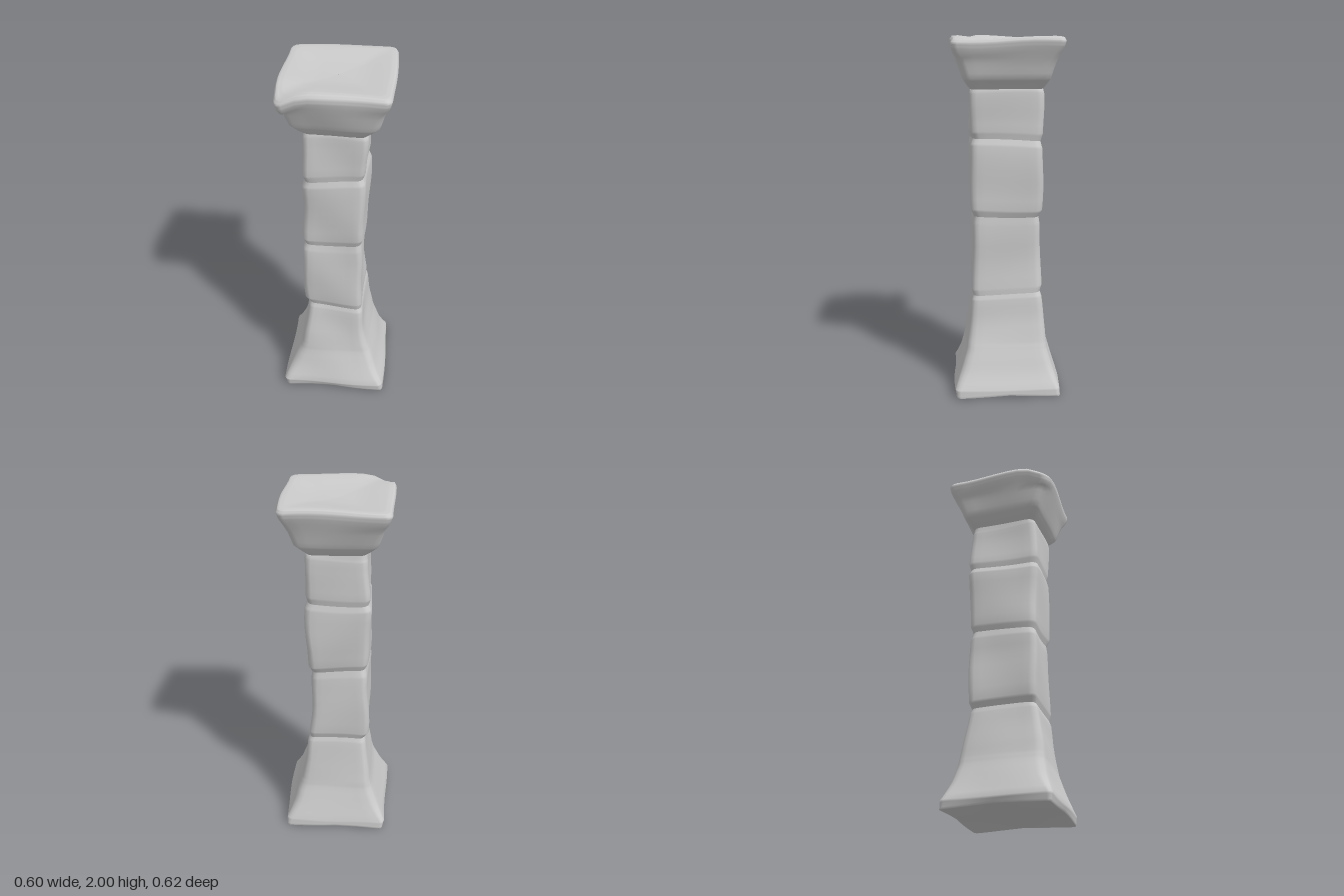
import * as THREE from 'three';

const material = new THREE.MeshStandardMaterial({ color: 0xcccccc });
const SIDE = 8, ARC = 3, STEPS = 3; // points per straight side, per corner, rows between sections

// Unit rounded square, counter-clockwise seen from above
function ringPoints(radius) {
  const points = [];
  for (let k = 0; k < 4; k++) {
    const turn = k * Math.PI / 2, c = Math.cos(turn), s = Math.sin(turn);
    const add = (x, z) => points.push([x * c + z * s, -x * s + z * c]);
    for (let i = 0; i < SIDE; i++) add(1, (1 - radius) * (1 - 2 * i / SIDE));
    for (let i = 0; i < ARC; i++) {
      const a = i / ARC * Math.PI / 2;
      add(1 - radius + radius * Math.cos(a), -(1 - radius) - radius * Math.sin(a));
    }
  }
  return points;
}

// Hand-carved unevenness, a function of position so neighbouring parts meet
function weather(x, y, z) {
  const bump = 0.006 * Math.sin(7 * y + 9 * z + 2 * x) + 0.004 * Math.sin(17 * y - 13 * x);
  const dx = Math.abs(x) > 0.1 ? Math.sign(x) * bump : 0;
  const dz = Math.abs(z) > 0.1 ? Math.sign(z) * 0.005 * Math.sin(11 * y + 12 * x - z) : 0;
  let dy = 0;
  if (y > 0.3 && y < 1.72) dy = 0.012 * Math.sin(8 * x + 5 * z + 4 * y);
  if (y > 1.9) { // sagging top with a worn front corner
    dy = -0.008 + 0.008 * Math.sin(9 * z - 6 * x - 1.5);
    dy -= 0.045 * Math.exp(-((x + 0.28) ** 2 + (z - 0.29) ** 2) / 0.006);
  }
  if (y < 0.03) dy = -0.015 * Math.min(1, Math.abs(x * z) / 0.075);
  return [x + dx, y + dy, z + dz];
}

// Loft through sections [y, xMin, xMax, zMin, zMax, cornerRadius]
function loft(name, sections) {
  const rows = [];
  sections.forEach((section, i) => {
    const next = sections[i + 1];
    for (let j = 0; j < (next ? STEPS : 1); j++) {
      rows.push(section.map((v, k) => next ? v + (next[k] - v) * j / STEPS : v));
    }
  });
  const positions = [], indices = [];
  let count = 0;
  for (const [y, x0, x1, z0, z1, radius] of rows) {
    const ring = ringPoints(radius);
    count = ring.length;
    for (const [u, v] of ring) {
      positions.push(...weather((x0 + x1) / 2 + u * (x1 - x0) / 2, y, (z0 + z1) / 2 + v * (z1 - z0) / 2));
    }
  }
  for (let r = 0; r < rows.length - 1; r++) {
    for (let i = 0; i < count; i++) {
      const a = r * count + i, b = r * count + (i + 1) % count;
      indices.push(a, b, b + count, a, b + count, a + count);
    }
  }
  const geometry = new THREE.BufferGeometry();
  geometry.setAttribute('position', new THREE.Float32BufferAttribute(positions, 3));
  geometry.setIndex(indices);
  geometry.computeVertexNormals();
  const mesh = new THREE.Mesh(geometry, material);
  mesh.name = name;
  return mesh;
}

export function createModel() {
  const model = new THREE.Group();
  model.name = 'stonePillar';

  // Grooves shared by the stones above and below
  const lowGroove = [0.57, -0.16, 0.15, -0.182, 0.185, 0.22];
  const midGroove = [1.02, -0.163, 0.138, -0.178, 0.185, 0.22];
  const highGroove = [1.44, -0.165, 0.155, -0.19, 0.195, 0.22];
  const neck = [1.72, -0.165, 0.16, -0.19, 0.195, 0.22];

  model.add(
    // Flared foot with a closed underside
    loft('base', [
      [0.018, -0.001, 0.001, -0.001, 0.001, 0.06],
      [0.016, -0.27, 0.28, -0.28, 0.28, 0.06],
      [0.018, -0.285, 0.295, -0.298, 0.29, 0.07],
      [0.05, -0.3, 0.295, -0.295, 0.3, 0.1],
      [0.15, -0.255, 0.25, -0.262, 0.265, 0.18],
      [0.25, -0.21, 0.21, -0.232, 0.235, 0.2],
      [0.3, -0.195, 0.195, -0.225, 0.228, 0.2],
      [0.42, -0.18, 0.175, -0.208, 0.21, 0.2],
      [0.54, -0.168, 0.16, -0.192, 0.195, 0.2],
      lowGroove,
    ]),
    // Three stacked shaft stones
    loft('lowerStone', [
      lowGroove,
      [0.61, -0.183, 0.152, -0.194, 0.195, 0.2],
      [0.8, -0.184, 0.146, -0.193, 0.195, 0.2],
      [0.97, -0.178, 0.14, -0.188, 0.193, 0.2],
      midGroove,
    ]),
    loft('middleStone', [
      midGroove,
      [1.06, -0.175, 0.156, -0.194, 0.198, 0.2],
      [1.22, -0.181, 0.162, -0.2, 0.201, 0.2],
      [1.4, -0.181, 0.166, -0.2, 0.205, 0.2],
      highGroove,
    ]),
    loft('upperStone', [
      highGroove,
      [1.48, -0.176, 0.166, -0.2, 0.204, 0.2],
      [1.6, -0.173, 0.167, -0.2, 0.203, 0.2],
      [1.69, -0.17, 0.165, -0.197, 0.2, 0.2],
      neck,
    ]),
    // Widening capital with a closed top
    loft('capital', [
      neck,
      [1.745, -0.19, 0.185, -0.21, 0.215, 0.2],
      [1.78, -0.222, 0.222, -0.233, 0.238, 0.18],
      [1.86, -0.25, 0.25, -0.262, 0.268, 0.16],
      [1.95, -0.285, 0.29, -0.298, 0.302, 0.12],
      [1.98, -0.293, 0.298, -0.304, 0.304, 0.12],
      [1.998, -0.283, 0.288, -0.295, 0.29, 0.14],
      [2.0, -0.25, 0.255, -0.26, 0.255, 0.16],
      [1.985, -0.12, 0.12, -0.12, 0.12, 0.18],
      [1.98, -0.001, 0.001, -0.001, 0.001, 0.2],
    ]),
  );
  return model;
}
